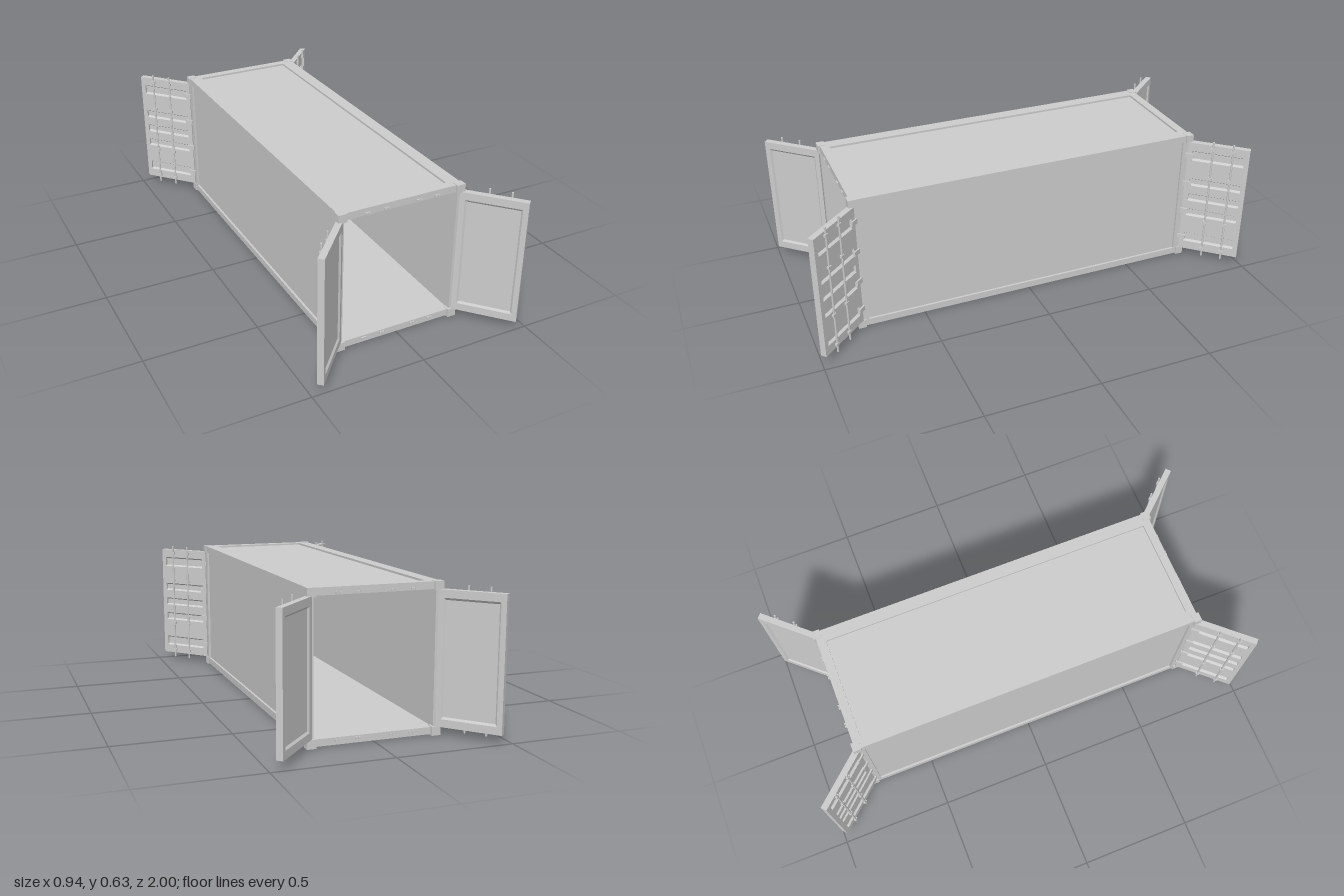
import * as THREE from 'three';

const steel = new THREE.MeshStandardMaterial({ color: 0xcccccc });
steel.name = 'grey steel';

function add(parent, name, geometry, x = 0, y = 0, z = 0) {
  const mesh = new THREE.Mesh(geometry, steel);
  mesh.name = name;
  mesh.position.set(x, y, z);
  parent.add(mesh);
  return mesh;
}

// box given by its two extreme corners
function block(parent, name, [x0, x1], [y0, y1], [z0, z1]) {
  return add(parent, name, new THREE.BoxGeometry(x1 - x0, y1 - y0, z1 - z0),
    (x0 + x1) / 2, (y0 + y1) / 2, (z0 + z1) / 2);
}

const span = (sign, a, b) => (sign > 0 ? [a, b] : [-b, -a]);

function extrude(points, depth) {
  const shape = new THREE.Shape(points.map(([x, y]) => new THREE.Vector2(x, y)));
  return new THREE.ExtrudeGeometry(shape, { depth, bevelEnabled: false });
}

const DOOR_W = 0.276, DOOR_T = 0.027, DOOR_H = 0.28; // width, thickness, half height
const DOOR_Y = 0.317, BORDER = 0.022;

// Door leaf: hinge edge at x = 0, inner face at z = 0, outer face at -z
function createDoor() {
  const door = new THREE.Group();
  door.name = 'door';

  // pressed panel: horizontal grooves outside, one bevelled recess inside
  const profile = [[0, DOOR_H], [0, 0.247], [0.007, 0.238], [0.007, -0.238], [0, -0.247],
    [0, -DOOR_H], [DOOR_T, -DOOR_H]];
  for (const [y, h] of [[-0.215, 0.024], [-0.08, 0.019], [0, 0.019], [0.08, 0.019], [0.215, 0.024]]) {
    profile.push([DOOR_T, y - h], [DOOR_T - 0.011, y - h + 0.007],
      [DOOR_T - 0.011, y + h - 0.007], [DOOR_T, y + h]);
  }
  profile.push([DOOR_T, DOOR_H]);
  const panel = extrude(profile, DOOR_W - 2 * BORDER);
  panel.rotateY(Math.PI / 2);
  add(door, 'doorPanel', panel, BORDER);

  // upright borders with a bevel towards the inner recess
  const border = [[0, 0], [BORDER, 0], [0.03, 0.0075], [0.03, 0.012], [BORDER, 0.012],
    [BORDER, DOOR_T], [0, DOOR_T]];
  for (const tip of [false, true]) {
    const geo = extrude(border.map(([x, s]) => [tip ? DOOR_W - x : x, s]), 2 * DOOR_H);
    geo.rotateX(-Math.PI / 2);
    add(door, 'doorBorder', geo, 0, -DOOR_H, 0);
  }

  // locking rods with their brackets
  for (const x of [0.113, 0.203]) {
    add(door, 'lockRod', new THREE.CylinderGeometry(0.0045, 0.0045, 0.6, 10), x, 0, -DOOR_T - 0.005);
    for (const y of [-0.262, -0.115, 0.115, 0.262]) {
      add(door, 'rodBracket', new THREE.BoxGeometry(0.018, 0.012, 0.011), x, y, -DOOR_T - 0.005);
    }
  }

  // hinges
  for (const y of [-0.215, -0.072, 0.072, 0.215]) {
    add(door, 'hinge', new THREE.BoxGeometry(0.036, 0.022, 0.008), 0.01, y, -DOOR_T - 0.003);
  }
  return door;
}

export function createModel() {
  const model = new THREE.Group();
  model.name = 'shippingContainer';

  // floor and roof sheets, set back from the frame
  block(model, 'floor', [-0.226, 0.226], [0.014, 0.035], [-0.756, 0.756]);
  block(model, 'roof', [-0.226, 0.226], [0.597, 0.619], [-0.756, 0.756]);

  for (const sx of [1, -1]) {
    // side wall and long rails
    block(model, 'sideWall', span(sx, 0.257, 0.271), [0.034, 0.598], [-0.756, 0.756]);
    block(model, 'bottomSideRail', span(sx, 0.225, 0.281), [0.005, 0.035], [-0.79, 0.79]);
    block(model, 'topSideRail', span(sx, 0.225, 0.281), [0.597, 0.628], [-0.79, 0.79]);

    for (const sz of [1, -1]) {
      block(model, 'cornerPost', span(sx, 0.257, 0.281), [0.035, 0.597], span(sz, 0.752, 0.79));
      for (const y of [[0, 0.038], [0.593, 0.63]]) {
        block(model, 'cornerCasting', span(sx, 0.248, 0.287), y, span(sz, 0.765, 0.8));
      }

      // rod keepers on the end beams: two lugs joined by thin plates
      for (const x of [0.073, 0.158]) {
        for (const y of [0.024, 0.605]) {
          for (const dx of [-0.007, 0.007]) {
            block(model, 'rodKeeperLug', [sx * x + dx - 0.003, sx * x + dx + 0.003],
              [y - 0.005, y + 0.005], span(sz, 0.789, 0.798));
          }
          block(model, 'rodKeeperPlate', [sx * x - 0.006, sx * x + 0.006],
            [y - 0.004, y + 0.004], span(sz, 0.789, 0.794));
        }
      }

      // open door; half turns place the same leaf at each corner
      const pivot = new THREE.Group();
      pivot.name = 'doorPivot';
      const door = createDoor();
      door.position.set(0.265, 0, 0.795);
      door.rotation.y = THREE.MathUtils.degToRad(-48);
      pivot.add(door);
      pivot.position.y = DOOR_Y;
      pivot.rotation.y = sz > 0 ? 0 : Math.PI;
      pivot.rotation.z = sx * sz > 0 ? 0 : Math.PI;
      model.add(pivot);
    }
  }

  // end beams
  for (const sz of [1, -1]) {
    block(model, 'bottomEndBeam', [-0.226, 0.226], [0.005, 0.035], span(sz, 0.752, 0.79));
    block(model, 'topEndBeam', [-0.226, 0.226], [0.597, 0.628], span(sz, 0.752, 0.79));
  }
  return model;
}
